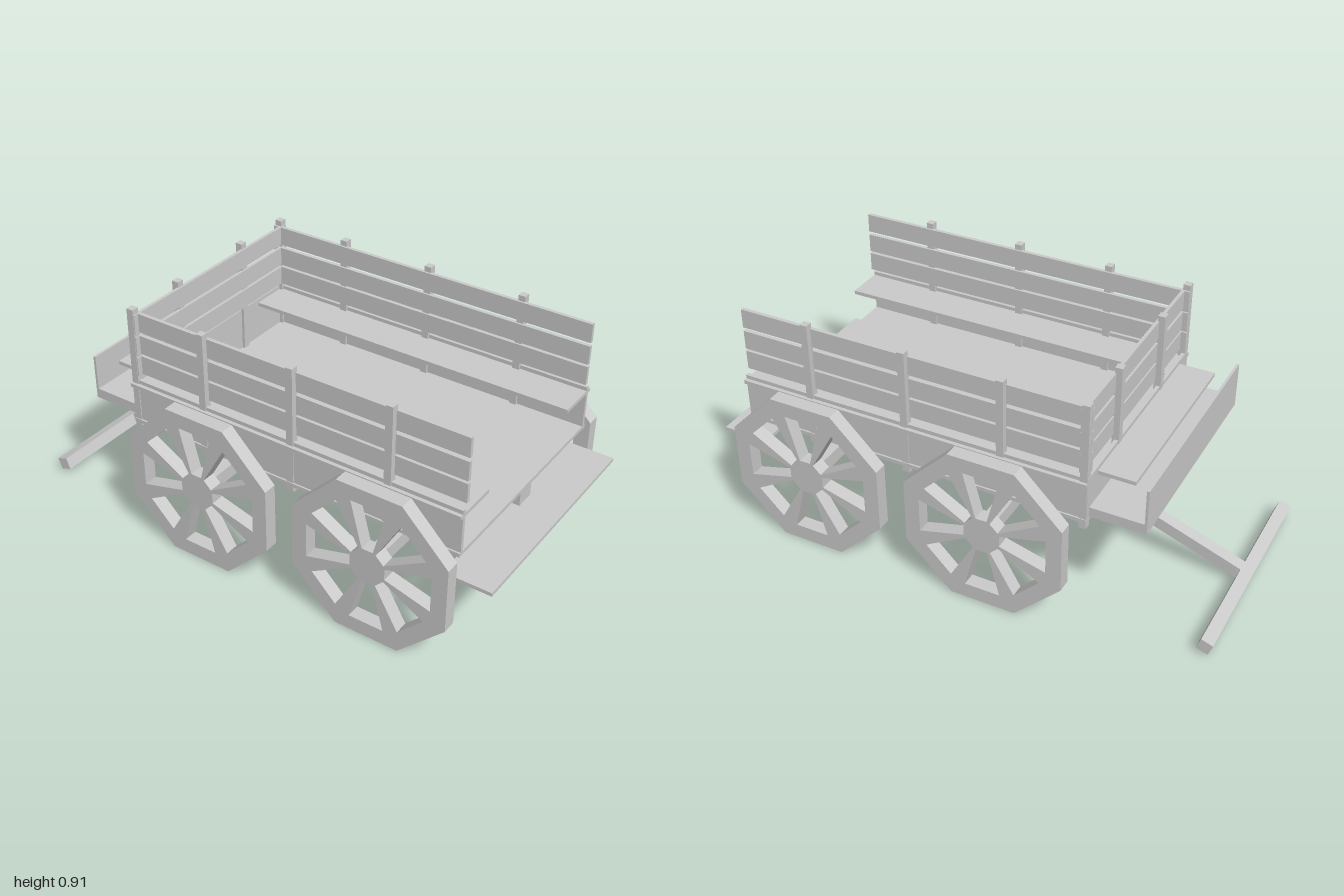
import * as THREE from 'three';

const material = new THREE.MeshStandardMaterial({ color: 0xcccccc, flatShading: true });

export function createModel() {
  const wagon = new THREE.Group();
  wagon.name = 'wagon';

  // Box given by its limits on each axis
  function box(name, [x0, x1], [y0, y1], [z0, z1]) {
    const mesh = new THREE.Mesh(new THREE.BoxGeometry(x1 - x0, y1 - y0, z1 - z0), material);
    mesh.position.set((x0 + x1) / 2, (y0 + y1) / 2, (z0 + z1) / 2);
    mesh.name = name;
    wagon.add(mesh);
    return mesh;
  }
  // The same box on both sides of the wagon
  function pair(name, xs, ys, [z0, z1]) {
    box(name + 'Left', xs, ys, [z0, z1]);
    box(name + 'Right', xs, ys, [-z1, -z0]);
  }

  // Bed: floor, low walls, long side benches
  const bedX = [-0.52, 0.87];
  box('floor', bedX, [0.435, 0.45], [-0.46, 0.46]);
  pair('sideBoard', bedX, [0.45, 0.62], [0.438, 0.453]);
  box('endBoard', [-0.52, -0.505], [0.45, 0.62], [-0.438, 0.438]);
  pair('bench', bedX, [0.59, 0.605], [0.285, 0.468]);

  // Slatted upper walls
  for (const y of [0.64, 0.725, 0.815]) {
    pair('sideSlat', bedX, [y, y + 0.075], [0.42, 0.435]);
    box('endSlat', [-0.5, -0.487], [y, y + 0.075], [-0.455, 0.455]);
  }

  // Posts
  for (const x of [-0.505, -0.19, 0.19, 0.585]) {
    pair('sidePost', [x - 0.014, x + 0.014], [0.41, 0.912], [0.428, 0.457]);
  }
  pair('endPost', [-0.522, -0.494], [0.41, 0.912], [0.175, 0.204]);

  // Driver's footwell and seat
  box('footwellFloor', [-0.73, -0.52], [0.45, 0.49], [-0.435, 0.435]);
  box('footBoard', [-0.732, -0.722], [0.45, 0.63], [-0.435, 0.435]);
  box('driverSeat', [-0.66, -0.505], [0.59, 0.605], [-0.375, 0.375]);

  // Central beam and rear step
  box('centreBeam', bedX, [0.383, 0.436], [-0.04, 0.04]);
  box('stepBracket', [0.74, 0.815], [0.304, 0.384], [-0.04, 0.04]);
  box('rearStep', [0.81, 0.998], [0.333, 0.347], [-0.46, 0.46]);

  // Eight-sided wheel with eight tapered openings between the spokes
  const apothem = 0.31;
  const rim = new THREE.Shape();
  for (let i = 0; i < 8; i++) {
    const a = (i + 0.5) * Math.PI / 4;
    const r = apothem / Math.cos(Math.PI / 8);
    if (i) rim.lineTo(r * Math.cos(a), r * Math.sin(a));
    else rim.moveTo(r * Math.cos(a), r * Math.sin(a));
  }
  rim.closePath();
  for (let i = 0; i < 8; i++) {
    const corners = [[0.07, -0.022], [0.07, 0.022], [0.25, 0.07], [0.25, -0.07]];
    const points = corners.map(([x, y]) =>
      new THREE.Vector2(x, y).rotateAround(new THREE.Vector2(), i * Math.PI / 4));
    rim.holes.push(new THREE.Path(points));
  }
  const wheelGeometry = new THREE.ExtrudeGeometry(rim, { depth: 0.055, bevelEnabled: false });

  // Axles with their blocks and wheels
  for (const [end, x] of [['front', -0.162], ['rear', 0.57]]) {
    box(end + 'Axle', [x - 0.028, x + 0.028], [0.29, 0.345], [-0.495, 0.495]);
    box(end + 'AxleBlock', [x - 0.04, x + 0.04], [0.304, 0.384], [-0.04, 0.04]);
    for (const [side, z] of [['Left', 0.49], ['Right', -0.545]]) {
      const wheel = new THREE.Mesh(wheelGeometry, material);
      wheel.name = end + 'Wheel' + side;
      wheel.position.set(x, apothem, z);
      wagon.add(wheel);
    }
  }

  // Sloping drawbar with a cross handle
  const drawbar = new THREE.Group();
  drawbar.name = 'drawbar';
  drawbar.position.set(-0.969, 0.037, 0);
  drawbar.rotation.z = 0.35;
  const bar = new THREE.Mesh(new THREE.BoxGeometry(0.82, 0.048, 0.05), material);
  bar.name = 'drawbarShaft';
  bar.position.x = 0.434;
  const handle = new THREE.Mesh(new THREE.BoxGeometry(0.048, 0.048, 0.86), material);
  handle.name = 'drawbarHandle';
  drawbar.add(bar, handle);
  wagon.add(drawbar);

  return wagon;
}
